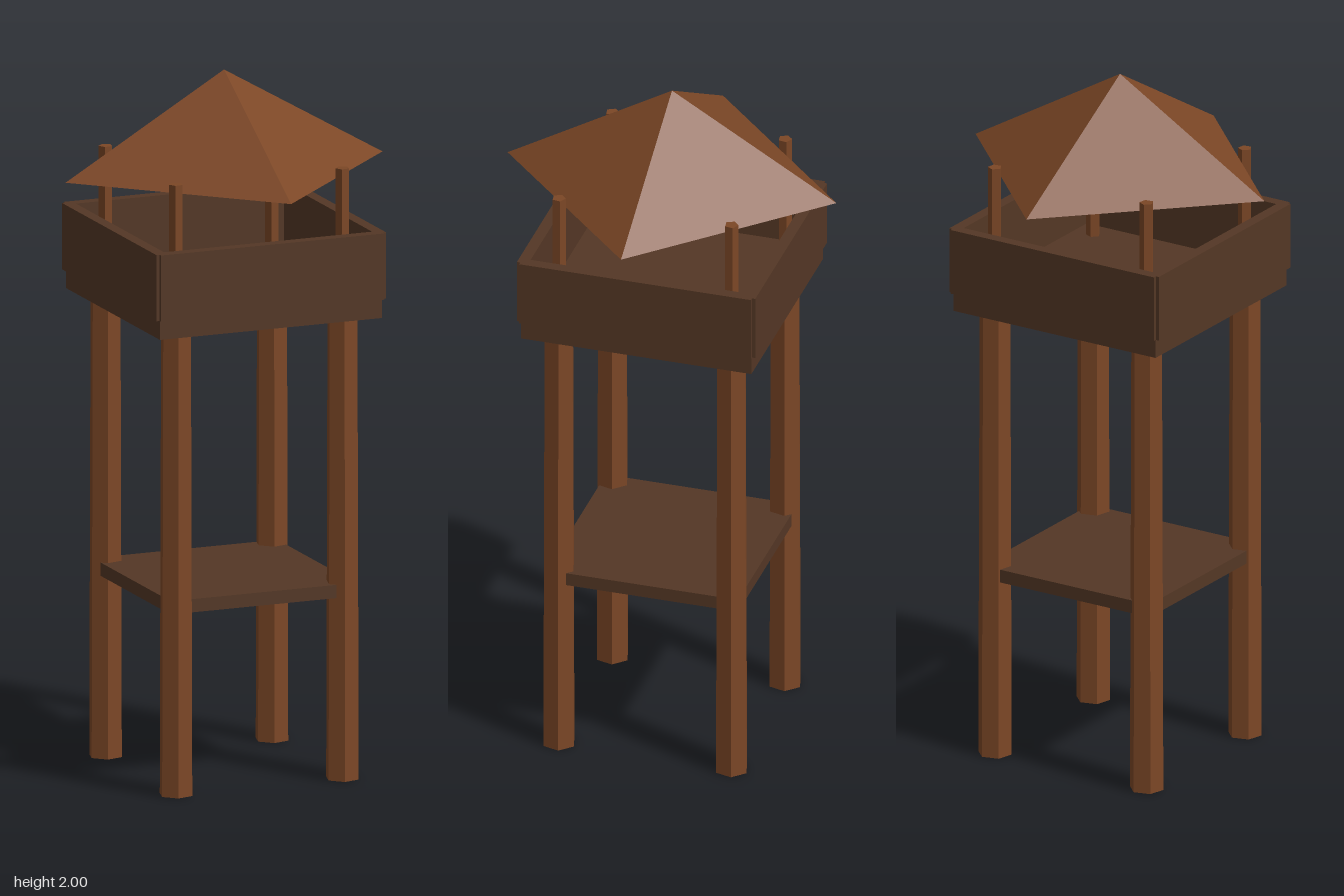
import * as THREE from 'three';

export function createModel() {
  const tower = new THREE.Group();
  tower.name = 'watchtower';

  const timber = new THREE.MeshStandardMaterial({ color: 0x7c4726, flatShading: true });
  timber.name = 'warm timber';
  const planks = new THREE.MeshStandardMaterial({ color: 0x543725, flatShading: true });
  planks.name = 'dark planks';

  const add = (name, geometry, material, x, y, z, turn = 0) => {
    const mesh = new THREE.Mesh(geometry, material);
    mesh.name = name;
    mesh.position.set(x, y, z);
    mesh.rotation.y = turn;
    tower.add(mesh);
    return mesh;
  };
  // Box given by its bottom and top heights
  const slab = (name, w, d, bottom, top, x = 0, z = 0) =>
    add(name, new THREE.BoxGeometry(w, top - bottom, d), planks, x, (bottom + top) / 2, z);

  // Heights
  const deckBottom = 1.33, deckTop = 1.385, railTop = 1.575;
  const eaves = 1.72, peak = 2, postTop = 1.75;

  // Six-sided legs with a slight taper, and thin five-sided roof posts above them
  const legGeometry = new THREE.CylinderGeometry(0.045, 0.049, deckBottom, 6);
  const postHeight = postTop - deckTop;
  const postGeometry = new THREE.CylinderGeometry(0.02, 0.02, postHeight, 5);
  const spread = 0.252;
  for (const sx of [-1, 1]) {
    for (const sz of [-1, 1]) {
      const side = (sz > 0 ? 'front' : 'back') + (sx > 0 ? 'Left' : 'Right');
      add(side + 'Leg', legGeometry, timber, sx * spread, deckBottom / 2, sz * spread, Math.PI / 4);
      add(side + 'Post', postGeometry, timber, sx * spread, deckTop + postHeight / 2, sz * spread, Math.PI / 4);
    }
  }

  // Lower shelf joining the legs, and the lookout deck
  slab('lowerShelf', 0.56, 0.56, 0.525, 0.563);
  slab('deck', 0.672, 0.672, deckBottom, deckTop);

  // Parapet walls, notched at the corners
  const length = 0.676, thick = 0.033, offset = 0.3315;
  for (const s of [-1, 1]) {
    slab(s > 0 ? 'frontWall' : 'backWall', length, thick, deckTop, railTop, 0, s * offset);
    slab(s > 0 ? 'leftWall' : 'rightWall', thick, length, deckTop, railTop, s * offset, 0);
  }

  // Pyramid roof, its corners pointing along the axes
  add('roof', new THREE.ConeGeometry(0.48, peak - eaves, 4), timber, 0, (peak + eaves) / 2, 0);

  return tower;
}
